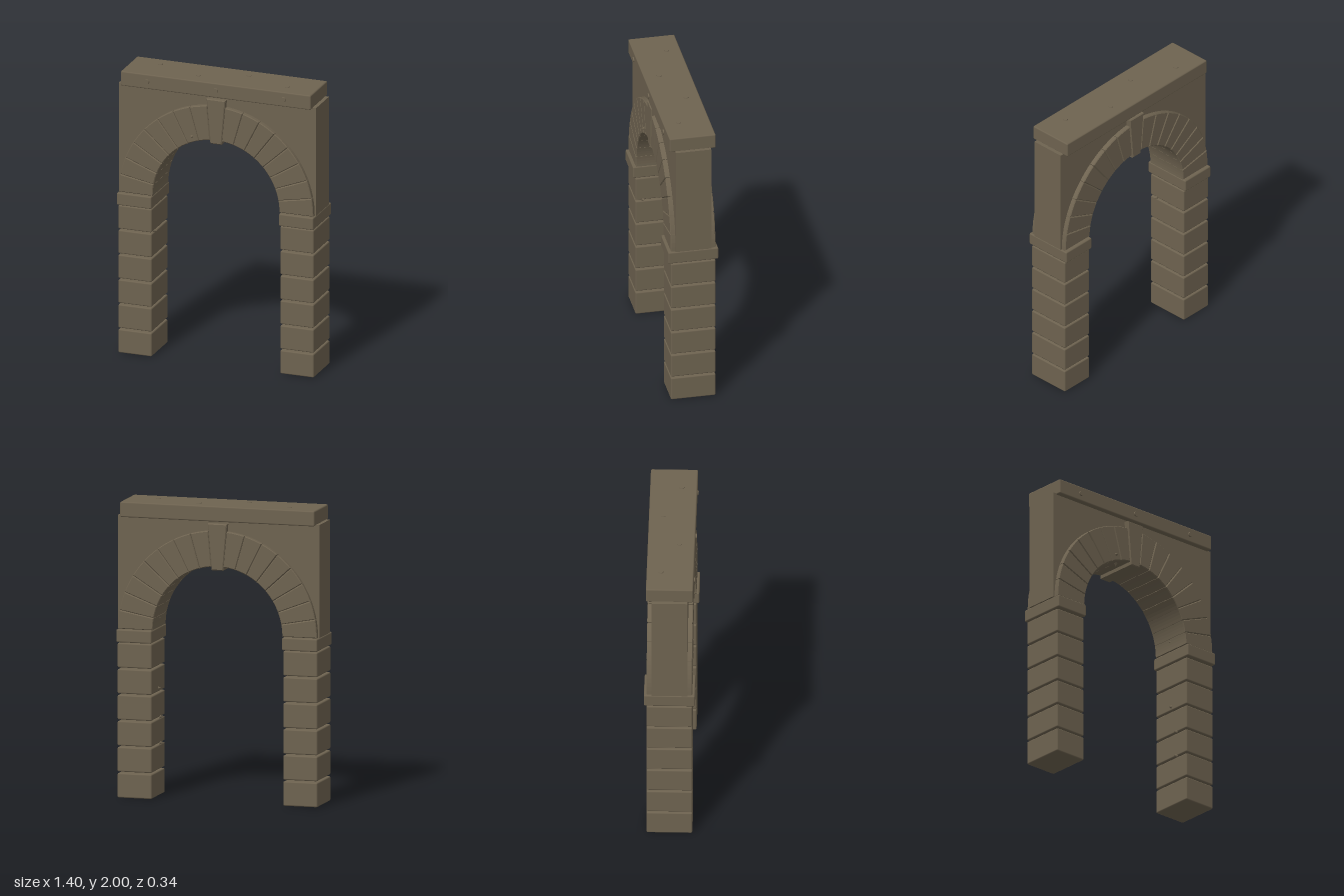
import * as THREE from 'three';
import { RoundedBoxGeometry } from 'three/addons/geometries/RoundedBoxGeometry.js';

const SPRING = 1.14, R_IN = 0.45, R_OUT = 0.69, WEDGES = 17;

export function createModel() {
  const model = new THREE.Group();
  const stone = new THREE.MeshStandardMaterial({ color: 0x6e6350 });
  stone.name = 'stone';

  const add = (name, geometry, x = 0, y = 0, z = 0) => {
    const mesh = new THREE.Mesh(geometry, stone);
    mesh.name = name;
    mesh.position.set(x, y, z);
    model.add(mesh);
    return mesh;
  };
  const block = (name, w, y0, y1, d, x = 0) =>
    add(name, new RoundedBoxGeometry(w, y1 - y0, d, 1, 0.009), x, (y0 + y1) / 2);
  // Extrusion centred on z, bevelled inward so its outline keeps its size
  const slab = (name, shape, depth, bevel = 0, curveSegments = 12) => {
    const geometry = new THREE.ExtrudeGeometry(shape, {
      depth: depth - 2 * bevel, bevelEnabled: bevel > 0, bevelSize: bevel,
      bevelThickness: bevel, bevelOffset: -bevel, bevelSegments: 1, curveSegments,
    });
    geometry.translate(0, 0, bevel - depth / 2);
    return add(name, geometry);
  };

  // Pillars of separate blocks, each under a wider impost
  for (const side of [-1, 1]) {
    for (let i = 0; i < 6; i++) {
      block('pillarBlock', 0.238, 0.005 + i * 0.175, 0.17 + i * 0.175, 0.304, side * 0.575);
    }
    block('impost', 0.246, 1.052, 1.138, 0.34, side * 0.575);
  }

  // Recessed wall around the arch
  const wall = new THREE.Shape();
  wall.moveTo(-0.7, SPRING);
  wall.lineTo(-0.47, SPRING);
  wall.absarc(0, SPRING, 0.47, Math.PI, 0, true);
  wall.lineTo(0.7, SPRING);
  wall.lineTo(0.7, 1.9);
  wall.lineTo(-0.7, 1.9);
  slab('spandrelWall', wall, 0.24, 0, 32);

  // Ring of wedge stones, with the middle one left for the keystone
  const step = Math.PI / WEDGES;
  for (let i = 0; i < WEDGES; i++) {
    if (i === (WEDGES - 1) / 2) continue;
    const a = i * step + 0.002, b = (i + 1) * step - 0.002;
    const wedge = new THREE.Shape();
    wedge.absarc(0, SPRING, R_OUT, a, b, false);
    wedge.absarc(0, SPRING, R_IN, b, a, true);
    slab('archStone', wedge, 0.304, 0.005, 2);
  }

  // Tapered keystone
  const key = new THREE.Shape();
  key.moveTo(-0.04, 1.565);
  key.lineTo(0.04, 1.565);
  key.lineTo(0.067, 1.878);
  key.lineTo(-0.067, 1.878);
  key.closePath();
  slab('keystone', key, 0.31, 0.006);

  // Coping beam with low studs on its front and top
  block('copingBeam', 1.35, 1.893, 1.996, 0.314);
  const stud = new THREE.CylinderGeometry(0.016, 0.019, 0.016, 12);
  for (const x of [-0.487, 0, 0.483]) {
    add('frontStud', stud, x, 1.945, 0.157).rotation.x = Math.PI / 2;
  }
  for (const [x, z] of [[-0.475, -0.062], [0.155, -0.062], [-0.16, 0.054], [0.47, 0.054]]) {
    add('topStud', stud, x, 1.992, z);
  }

  // Small stone chips on the arch face and inner pillar faces
  const chip = new THREE.ConeGeometry(0.013, 0.025, 6);
  add('faceChip', chip, -0.17, 1.6, 0.16).rotation.x = Math.PI / 2;
  add('soffitChip', chip, -0.11, 1.567, 0.08).rotation.x = Math.PI;
  add('innerChip', chip, -0.45, 0.88, 0.1).rotation.z = -Math.PI / 2;
  for (const [y, z] of [[1.2, 0], [0.73, 0], [0.53, 0.05], [0.355, 0.05]]) {
    add('innerChip', chip, 0.447, y, z).rotation.z = Math.PI / 2;
  }

  return model;
}
